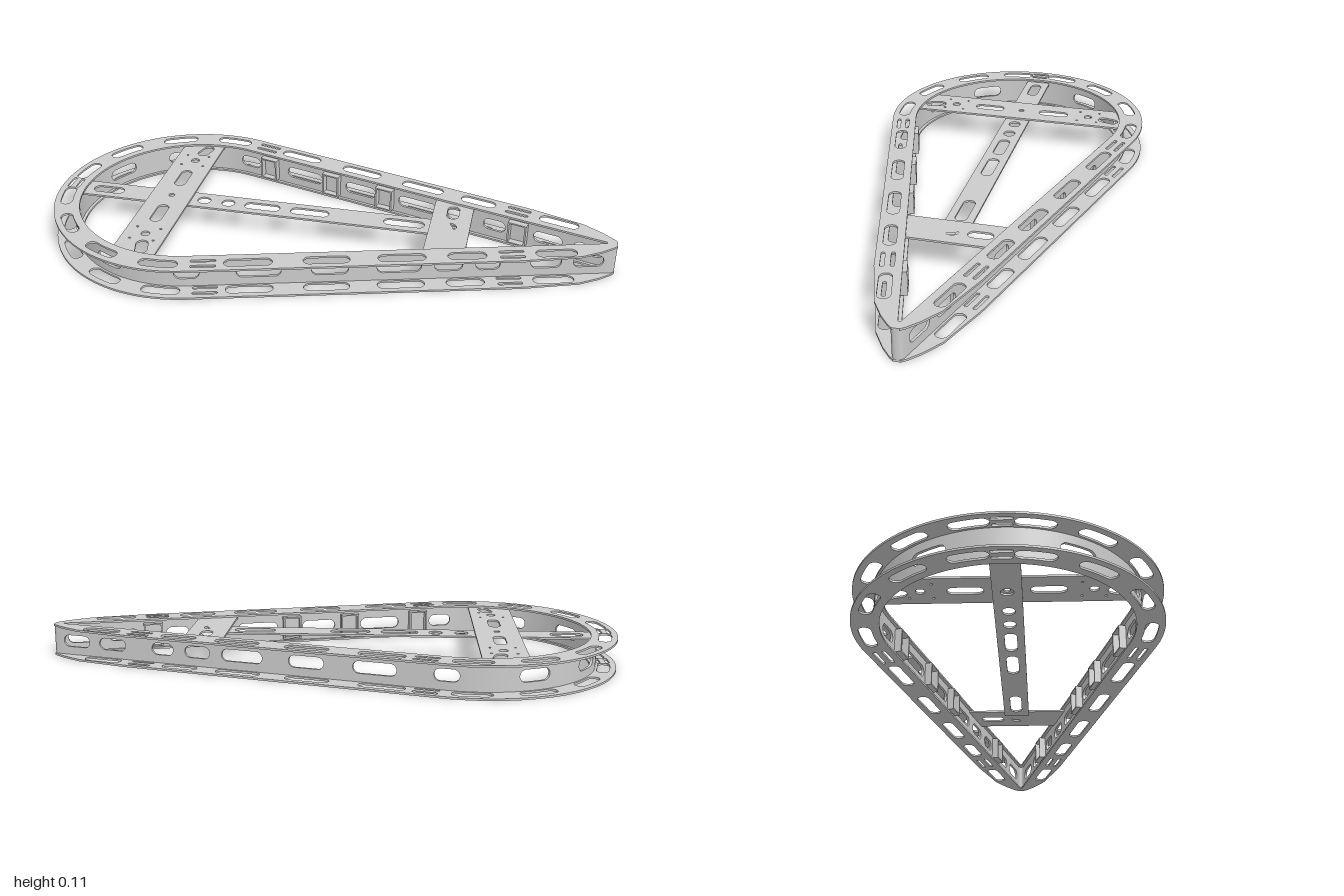
import * as THREE from 'three';
import { toCreasedNormals } from 'three/addons/utils/BufferGeometryUtils.js';

// Teardrop path: big arc at the left, straight flank, tiny arc at the tip
const CX = -0.51, R = 0.42, TIP_X = 0.98, TIP_R = 0.02;
const A = Math.asin((R - TIP_R) / (TIP_X - CX));
const ARC = R * (Math.PI / 2 + A);
const FLANK = (TIP_X - CX) * Math.cos(A);
const END = ARC + FLANK + TIP_R * (Math.PI / 2 - A);
const HEIGHT = 0.114, SHEET = 0.007;

// Point at run s along the path (s = 0 is the far left, negative s is the -z side), r from the big centre
function at(s, r) {
  if (s < 0) { const p = at(-s, r); p.y *= -1; return p; }
  if (s <= ARC) {
    const a = s / R;
    return new THREE.Vector2(CX - r * Math.cos(a), r * Math.sin(a));
  }
  const t = s - ARC;
  if (t <= FLANK) {
    return new THREE.Vector2(CX + r * Math.sin(A) + t * Math.cos(A), r * Math.cos(A) - t * Math.sin(A));
  }
  const a = A + (t - FLANK) / TIP_R, q = r - R + TIP_R;
  return new THREE.Vector2(TIP_X + q * Math.sin(a), q * Math.cos(a));
}

// Round-ended hole
function slot(x, y, length, width, angle = 0) {
  const d = (length - width) / 2, c = Math.cos(angle) * d, s = Math.sin(angle) * d;
  const p = new THREE.Path();
  p.absarc(x - c, y - s, width / 2, angle + Math.PI / 2, angle + Math.PI * 1.5);
  p.absarc(x + c, y + s, width / 2, angle - Math.PI / 2, angle + Math.PI / 2);
  return p;
}

// Round-ended hole bent along the path
function pathSlot(s, r, length, width) {
  const pts = slot(s, r, length, width).getPoints(8);
  const n = 6, out = [];
  pts.forEach((p, i) => {
    out.push(p);
    const q = pts[(i + 1) % pts.length];
    if (p.distanceTo(q) > width) {
      for (let k = 1; k < n; k++) out.push(p.clone().lerp(q, k / n));
    }
  });
  return new THREE.Path(out.map(p => at(p.x, p.y)));
}

// Web: a bent wall made of a lower and an upper band that part around each slot
function webGeometry() {
  const slots = [[0.227, 0.12], [0.484, 0.11], [0.774, 0.085]];
  [[0.241, 0.15], [0.48, 0.125], [0.713, 0.15], [0.88, 0.095], [1.014, 0.083], [1.212, 0.105], [1.357, 0.105]]
    .forEach(([t, l]) => slots.push([ARC + t, l]));
  const rad = 0.021, half = [];
  for (let i = 0; i <= 40; i++) half.push(ARC * i / 40);
  for (let i = 0; i <= 8; i++) half.push(ARC + FLANK + (END - ARC - FLANK) * i / 8);
  for (const [c, l] of slots) {
    for (let i = 0; i <= 6; i++) {
      const d = l / 2 - rad + rad * Math.sin(i / 6 * Math.PI / 2);
      half.push(c - d, c + d);
    }
  }
  const run = [...half.map(s => -s), ...half].sort((a, b) => a - b).filter((s, i, l) => !i || s - l[i - 1] > 1e-6);
  const gap = s => {
    for (const [c, l] of slots) {
      const d = Math.abs(Math.abs(s) - c) - (l / 2 - rad);
      if (d < rad) return d <= 0 ? rad : Math.sqrt(rad * rad - d * d);
    }
    return 0;
  };
  const pos = [], mid = HEIGHT / 2, r0 = R - 0.009;
  const section = (s, upper) => {
    const y0 = upper ? mid + gap(s) : SHEET, y1 = upper ? HEIGHT - SHEET : mid - gap(s);
    return [[r0, y0], [R, y0], [R, y1], [r0, y1]].map(([r, y]) => {
      const p = at(s, r);
      return [p.x, y, p.y];
    });
  };
  for (const upper of [false, true]) {
    for (let i = 0; i + 1 < run.length; i++) {
      const a = section(run[i], upper), b = section(run[i + 1], upper);
      for (let k = 0; k < 4; k++) {
        const n = (k + 1) % 4;
        pos.push(...a[k], ...b[k], ...b[n], ...a[k], ...b[n], ...a[n]);
      }
    }
  }
  const g = new THREE.BufferGeometry();
  g.setAttribute('position', new THREE.Float32BufferAttribute(pos, 3));
  return toCreasedNormals(g, 0.5);
}

// Flange outline with its inner opening, lightening slots and slim joint slots
function flangeShape() {
  const outer = [], inner = [];
  for (let i = 0; i <= 40; i++) {
    outer.push(at(ARC * i / 40, 0.49));
    inner.push(at(ARC * i / 40, 0.40));
  }
  outer.push(at(ARC + 1.12, 0.488), new THREE.Vector2(0.885, 0.103), new THREE.Vector2(0.95, 0.06),
    new THREE.Vector2(0.99, 0.025), new THREE.Vector2(1, 0.012));
  inner.push(at(ARC + 1.42, 0.40));
  const mirrored = l => [...l, ...l.slice(1).reverse().map(p => new THREE.Vector2(p.x, -p.y))];
  // Counter-clockwise outline, so that the walls of the outline and its holes face outwards
  const shape = new THREE.Shape(mirrored(outer).reverse());
  shape.holes.push(new THREE.Path(mirrored(inner)));
  const large = [[0.09, 0.115], [0.275, 0.125], [0.484, 0.125], [0.69, 0.125]];
  [[0.208, 0.16], [0.467, 0.155], [0.717, 0.16], [0.935, 0.13], [1.235, 0.14]]
    .forEach(([t, l]) => large.push([ARC + t, l]));
  for (const side of [1, -1]) {
    for (const [s, l] of large) shape.holes.push(pathSlot(side * s, 0.448, l, 0.042));
    for (const t of [0.06, 1.085]) {
      for (const r of [0.432, 0.464]) shape.holes.push(pathSlot(side * (ARC + t), r, 0.085, 0.013));
    }
  }
  for (const r of [0.432, 0.464]) shape.holes.push(pathSlot(0, r, 0.06, 0.013));
  return shape;
}

export function createModel() {
  const group = new THREE.Group();
  const mat = new THREE.MeshStandardMaterial({ color: 0xcccccc, side: THREE.DoubleSide });
  const add = (name, geo, parent = group) => {
    const m = new THREE.Mesh(geo, mat);
    m.name = name;
    parent.add(m);
  };
  // Flat sheet drawn in x and z, with its upper face at height y
  const sheet = (name, shape, y) => {
    const g = new THREE.ExtrudeGeometry(shape, { depth: SHEET, bevelEnabled: false, curveSegments: 10 });
    g.rotateX(Math.PI / 2).translate(0, y, 0);
    add(name, toCreasedNormals(g, 0.5));
  };
  const quad = (x0, x1, z0, z1) => new THREE.Shape(
    [[x0, -z0], [x1, -z1], [x1, z1], [x0, z0]].map(p => new THREE.Vector2(...p)));

  // Rim
  const flange = flangeShape();
  sheet('lowerFlange', flange, SHEET);
  sheet('upperFlange', flange, HEIGHT);
  add('web', webGeometry());

  // Wide cross plate
  const wide = quad(-0.665, -0.51, 0.38, 0.41);
  wide.holes.push(slot(-0.587, 0, 0.022, 0.02));
  for (const s of [1, -1]) {
    wide.holes.push(slot(-0.587, s * 0.13, 0.115, 0.042, Math.PI / 2));
    wide.holes.push(slot(-0.587, s * 0.27, 0.031, 0.03));
    wide.holes.push(slot(-0.57, s * 0.352, 0.08, 0.042, s * 1.3));
    for (const x of [-0.63, -0.545]) {
      for (const z of [0.232, 0.308]) wide.holes.push(slot(x, s * z, 0.009, 0.008));
    }
  }
  sheet('wideCrossPlate', wide, HEIGHT - SHEET);

  // Narrow cross plate
  const narrow = quad(0.36, 0.5, 0.184, 0.145);
  narrow.holes.push(slot(0.43, 0, 0.047, 0.045));
  for (const s of [1, -1]) narrow.holes.push(slot(0.432 + s * 0.001, s * 0.095, 0.085, 0.042, Math.PI / 2 + s * 0.02));
  sheet('narrowCrossPlate', narrow, HEIGHT - SHEET);

  // Long centre strip
  const strip = quad(-0.918, 0.38, 0.047, 0.047);
  [[-0.83, 0.115], [-0.587, 0.043], [-0.463, 0.048], [-0.372, 0.048], [-0.245, 0.13], [-0.07, 0.14], [0.27, 0.145]]
    .forEach(([x, l]) => strip.holes.push(slot(x, 0, l, 0.042)));
  sheet('centreStrip', strip, HEIGHT - 2 * SHEET);

  // Upright clips on the inside of the web
  for (const side of [1, -1]) {
    for (const t of [0.092, 0.362, 0.585, 1.104]) {
      const clip = new THREE.Group();
      clip.name = 'webClip';
      const p = at(side * (ARC + t), 0.399);
      clip.position.set(p.x, HEIGHT / 2, p.y);
      clip.rotation.y = side * A;
      const h = HEIGHT - 0.03;
      for (const e of [1, -1]) {
        add('clipRib', new THREE.BoxGeometry(0.006, h, 0.024).translate(e * 0.031, 0, 0), clip);
        add('clipLip', new THREE.BoxGeometry(0.067, 0.005, 0.024).translate(0, e * (h / 2 - 0.0025), 0), clip);
      }
      group.add(clip);
    }
  }
  return group;
}
